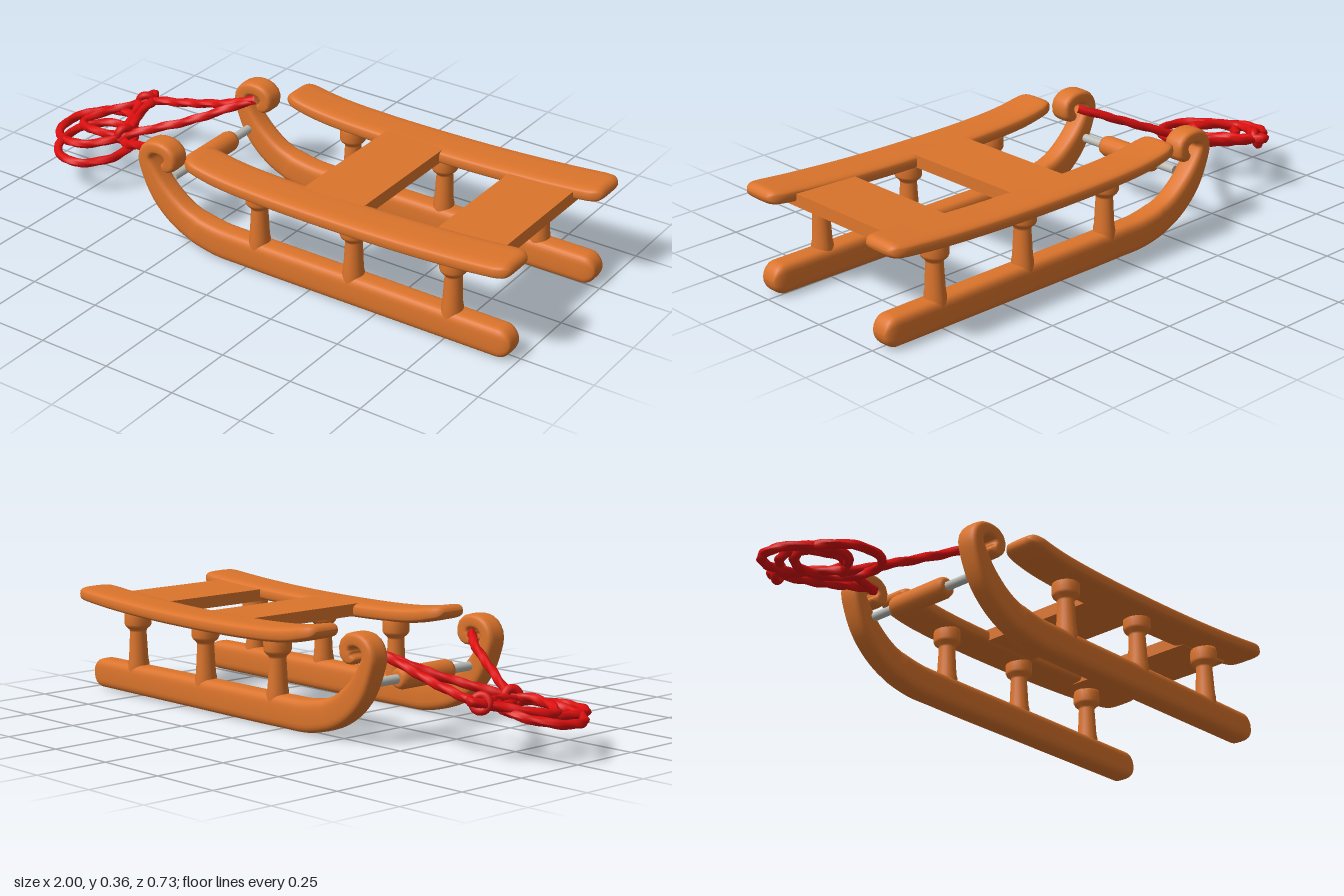
import * as THREE from 'three';

const wood = new THREE.MeshStandardMaterial({ color: 0xdb742c });
wood.name = 'orange wood';
const ropeRed = new THREE.MeshStandardMaterial({ color: 0xdb0f0f });
ropeRed.name = 'red rope';
const steel = new THREE.MeshStandardMaterial({ color: 0xbdbdb8 });
steel.name = 'steel';

function add(parent, name, geometry, material, x = 0, y = 0, z = 0) {
  const mesh = new THREE.Mesh(geometry, material);
  mesh.name = name;
  mesh.position.set(x, y, z);
  parent.add(mesh);
  return mesh;
}

// Rounded bar along a side-view path of [x, y, half thickness]; ends are rounded off
function barGeometry(points, widthAt, endThick, endWide, steps) {
  const curve = new THREE.CatmullRomCurve3(points.map((p) => new THREE.Vector3(...p)), false, 'centripetal');
  curve.arcLengthDivisions = 800;
  const length = curve.getLength(), sides = 28, ends = 9;
  const stations = [];
  for (let i = 0; i < ends; i++) stations.push(endWide * (1 - Math.cos((i / ends) * Math.PI / 2)));
  for (let i = 0; i <= steps; i++) stations.push(endWide + (length - 2 * endWide) * i / steps);
  for (let i = ends - 1; i >= 0; i--) stations.push(length - stations[i]);
  const ease = (d, r) => d >= r ? 1 : Math.sqrt(Math.max(0, 1 - (1 - d / r) ** 2));
  const soft = (v) => Math.sign(v) * Math.abs(v) ** 0.55;
  const pos = [], index = [];
  stations.forEach((s, i) => {
    const u = Math.min(1, Math.max(0, s / length));
    const p = curve.getPointAt(u), t = curve.getTangentAt(u).setZ(0).normalize();
    const d = Math.min(s, length - s);
    const h = p.z * ease(d, endThick), w = widthAt(p.x) * (0.55 + 0.45 * ease(d, endWide));
    for (let j = 0; j < sides; j++) {
      const a = (j / sides) * Math.PI * 2, n = soft(Math.cos(a)) * h;
      pos.push(p.x - t.y * n, p.y + t.x * n, soft(Math.sin(a)) * w);
      if (i < stations.length - 1) {
        const k = i * sides, j2 = (j + 1) % sides;
        index.push(k + j, k + j2, k + sides + j, k + j2, k + sides + j2, k + sides + j);
      }
    }
  });
  const g = new THREE.BufferGeometry();
  g.setAttribute('position', new THREE.Float32BufferAttribute(pos, 3));
  g.setIndex(index);
  g.computeVertexNormals();
  return g;
}

// Twisted three-strand rope through the given points
function ropeGeometry(points, closed = false) {
  const curve = new THREE.CatmullRomCurve3(points.map((p) => new THREE.Vector3(...p)), closed);
  const length = curve.getLength(), segs = Math.ceil(length / 0.006), sides = 12, r = 0.0145;
  const g = new THREE.TubeGeometry(curve, segs, r, sides, closed);
  const pos = g.attributes.position, nor = g.attributes.normal;
  const turns = Math.round(length / 0.1);
  for (let i = 0; i < pos.count; i++) {
    const ring = Math.floor(i / (sides + 1)), a = ((i % (sides + 1)) / sides) * Math.PI * 2;
    const k = r * 0.13 * Math.cos(3 * a + (ring / segs) * turns * Math.PI * 2);
    pos.setXYZ(i, pos.getX(i) + nor.getX(i) * k, pos.getY(i) + nor.getY(i) * k, pos.getZ(i) + nor.getZ(i) * k);
  }
  g.computeVertexNormals();
  return g;
}

const lathe = (profile, sides) => new THREE.LatheGeometry(profile.map((p) => new THREE.Vector2(...p)), sides);

export function createModel() {
  const sled = new THREE.Group();
  sled.name = 'sled';

  // Runners curl up and over at the nose
  const runner = barGeometry([
    [0.985, 0.058, 0.051], [0.5, 0.057, 0.053], [0, 0.056, 0.054], [-0.13, 0.06, 0.054], [-0.25, 0.093, 0.05],
    [-0.335, 0.158, 0.045], [-0.385, 0.235, 0.034], [-0.402, 0.29, 0.027], [-0.382, 0.323, 0.025],
    [-0.342, 0.333, 0.024], [-0.306, 0.32, 0.026], [-0.299, 0.292, 0.026], [-0.316, 0.271, 0.024], [-0.34, 0.27, 0.018],
  ], (x) => (x < -0.2 ? 0.039 : 0.042), 0.045, 0.05, 110);

  // Seat rails sweep up at both ends
  const rail = barGeometry([
    [0.996, 0.343, 0.024], [0.8, 0.325, 0.026], [0.5, 0.311, 0.026], [0.1, 0.31, 0.026],
    [-0.08, 0.321, 0.026], [-0.206, 0.345, 0.023],
  ], (x) => 0.074 + 0.005 * x, 0.025, 0.06, 40);

  // Turned post with a wide cap
  const post = lathe([
    [0.036, 0.08], [0.036, 0.115], [0.033, 0.13], [0.028, 0.225], [0.03, 0.232],
    [0.042, 0.243], [0.046, 0.252], [0.046, 0.285], [0.042, 0.3], [0, 0.3],
  ], 20);

  for (const side of [1, -1]) {
    const half = new THREE.Group();
    half.name = side > 0 ? 'frontSide' : 'backSide';
    sled.add(half);
    add(half, 'runner', runner, wood, 0, 0, side * 0.265);
    add(half, 'seatRail', rail, wood, 0, 0, side * 0.285);
    for (const x of [0.042, 0.403, 0.765]) {
      const m = add(half, 'post', post, wood, x, 0, side * 0.268);
      m.scale.set(0.95, 1, 1.05);
    }
  }

  // Cross slats between the rails
  add(sled, 'frontSlat', new THREE.BoxGeometry(0.222, 0.042, 0.5), wood, 0.303, 0.312, 0);
  add(sled, 'rearSlat', new THREE.BoxGeometry(0.235, 0.042, 0.5), wood, 0.788, 0.316, 0).rotation.z = 0.04;

  // Foot bar with a wooden grip
  add(sled, 'footBar', new THREE.CylinderGeometry(0.015, 0.015, 0.42, 16), steel, -0.353, 0.19, 0).rotation.x = Math.PI / 2;
  const grip = lathe([
    [0, -0.12], [0.022, -0.12], [0.031, -0.115], [0.036, -0.1], [0.036, 0.1], [0.031, 0.115], [0.022, 0.12], [0, 0.12],
  ], 20);
  add(sled, 'footBarGrip', grip, wood, -0.353, 0.19, 0).rotation.x = Math.PI / 2;

  // Pull rope: lines tied to the curls, then loose coils
  const rope = new THREE.Group();
  rope.name = 'pullRope';
  sled.add(rope);
  add(rope, 'frontLine', ropeGeometry([
    [-0.34, 0.295, 0.235], [-0.4, 0.27, 0.185], [-0.55, 0.205, 0.115], [-0.7, 0.145, 0.04], [-0.74, 0.15, -0.02],
    [-0.78, 0.165, -0.12], [-0.8, 0.185, -0.2], [-0.78, 0.195, -0.235], [-0.76, 0.19, -0.2], [-0.75, 0.175, -0.11], [-0.7, 0.16, 0.01],
  ]), ropeRed);
  add(rope, 'backLine', ropeGeometry([
    [-0.34, 0.295, -0.235], [-0.38, 0.28, -0.205], [-0.52, 0.22, -0.1], [-0.68, 0.17, 0.01], [-0.72, 0.15, 0.05],
  ]), ropeRed);
  add(rope, 'upperBackLine', ropeGeometry([
    [-0.34, 0.3, -0.23], [-0.42, 0.272, -0.208], [-0.6, 0.222, -0.205], [-0.74, 0.192, -0.203], [-0.8, 0.18, -0.195],
  ]), ropeRed);

  // Coils [x, y, z centre, x radius, z radius, slope along x]
  const coils = [
    [-0.85, 0.142, 0.0, 0.137, 0.125, 0.14],
    [-0.79, 0.132, 0.08, 0.125, 0.14, 0.03],
  ];
  for (const [cx, cy, cz, rx, rz, slope] of coils) {
    const pts = [];
    for (let i = 0; i < 16; i++) {
      const a = (i / 16) * Math.PI * 2, dx = Math.cos(a) * rx, dz = Math.sin(a) * rz;
      pts.push([cx + dx, cy + dx * slope - dz * 0.08, cz + dz]);
    }
    add(rope, 'coil', ropeGeometry(pts, true), ropeRed);
  }
  add(rope, 'looseStrand', ropeGeometry([
    [-0.7, 0.16, 0.03], [-0.76, 0.165, 0.055], [-0.85, 0.155, 0.045], [-0.91, 0.145, 0], [-0.89, 0.155, -0.07],
    [-0.83, 0.17, -0.14], [-0.78, 0.185, -0.2],
  ]), ropeRed);
  add(rope, 'knot', new THREE.TorusGeometry(0.024, 0.014, 10, 20), ropeRed, -0.785, 0.185, -0.195).rotation.set(0.4, 0.5, 0);
  add(rope, 'centreKnot', new THREE.TorusGeometry(0.024, 0.015, 10, 20), ropeRed, -0.71, 0.165, 0.025).rotation.set(0.3, 1.1, 0);

  return sled;
}
